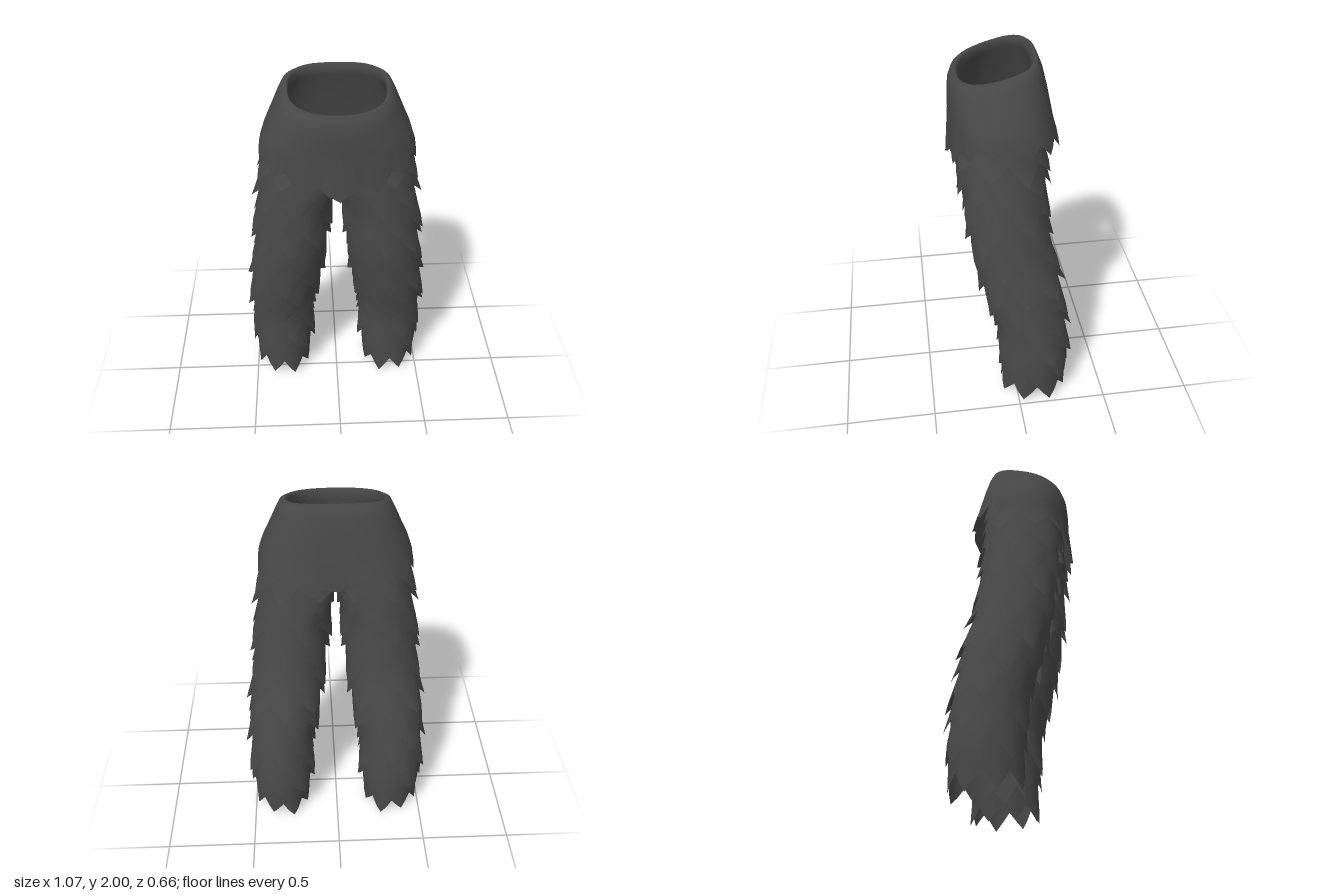
import * as THREE from 'three';

const fur = new THREE.MeshStandardMaterial({ color: 0x484848, side: THREE.DoubleSide });
fur.name = 'charcoal fur';

// Surface through rows of closed loops; point(row, angle, column) gives [x, y, z]
function loft(name, rows, segs, point, flip = false) {
  const pos = [], idx = [];
  for (let i = 0; i < rows; i++)
    for (let j = 0; j < segs; j++) pos.push(...point(i, (j / segs) * Math.PI * 2, j));
  for (let i = 0; i < rows - 1; i++) {
    for (let j = 0; j < segs; j++) {
      const a = i * segs + j, b = i * segs + (j + 1) % segs, c = a + segs, d = b + segs;
      if (flip) idx.push(a, c, b, b, c, d);
      else idx.push(a, b, c, b, d, c);
    }
  }
  const g = new THREE.BufferGeometry();
  g.setAttribute('position', new THREE.Float32BufferAttribute(pos, 3));
  g.setIndex(idx);
  g.computeVertexNormals();
  const mesh = new THREE.Mesh(g, fur);
  mesh.name = name;
  return mesh;
}

// Interpolates a table whose first column is descending height
function sample(table, y) {
  if (y >= table[0][0]) return table[0];
  for (let i = 1; i < table.length; i++) {
    if (y >= table[i][0]) {
      const a = table[i - 1], b = table[i], t = (a[0] - y) / (a[0] - b[0]);
      return a.map((v, k) => THREE.MathUtils.lerp(v, b[k], t));
    }
  }
  return table[table.length - 1];
}

const power = (v, p) => Math.sign(v) * Math.abs(v) ** p;
const noise = n => { const s = Math.sin(n * 12.9898) * 43758.5453; return s - Math.floor(s); };

// Pointed fringe: 1 at a tip, 0 between two tips
const fringe = (column, perTip, shift) => {
  const f = ((column + shift) % perTip) / perTip;
  return 1 - Math.abs(f - 0.5) * 2;
};

// height, centre x, centre z, radius x, radius z
const LEG = [
  [1.70, 0.195, 0.055, 0.19, 0.215],
  [1.50, 0.205, 0.06, 0.2, 0.225],
  [1.25, 0.235, 0.045, 0.205, 0.22],
  [1.00, 0.258, 0.02, 0.205, 0.22],
  [0.75, 0.292, -0.035, 0.205, 0.218],
  [0.50, 0.322, -0.085, 0.185, 0.2],
  [0.25, 0.328, -0.105, 0.183, 0.198],
  [0.00, 0.328, -0.1, 0.145, 0.175],
];

function legPoint(y, a, scale, side) {
  const [, cx, cz, rx, rz] = sample(LEG, y);
  const c = Math.cos(a), s = Math.sin(a);
  // The inner thigh squares off towards the crotch
  const k = c < 0 ? THREE.MathUtils.clamp((y - 1.3) / 0.2, 0, 1) : 0;
  const p = 1 - 0.5 * k;
  const reach = scale + k * Math.max(0, 1.03 - scale);
  const x = Math.max(0, cx + rx * reach * power(c, p));
  return [side * x, y, cz + rz * scale * power(s, p)];
}

function makeLeg(side) {
  const leg = new THREE.Group();
  leg.name = side > 0 ? 'leftLeg' : 'rightLeg';
  // Open tube inside the fringes, narrowing at the ankle
  leg.add(loft('legLining', 16, 36,
    (i, a) => legPoint(1.66 - i * 0.1, a, i < 13 ? 0.87 : 0.87 - (i - 12) * 0.04, side), side < 0));
  // Overlapping tiers of pointed fur
  const tiers = 11, tips = 8, per = 4;
  for (let t = 0; t < tiers; t++) {
    const hem = 1.56 - t * 0.146, top = Math.min(hem + 0.24, 1.68);
    const shift = t % 2 ? per / 2 : 0;
    leg.add(loft('furTier', 5, tips * per, (i, a, j) => {
      const f = fringe(j, per, shift);
      const tip = Math.floor((j + shift) / per) % tips;
      const r = noise(t * 17 + tip + 3), v = i / 4;
      const low = hem + 0.015 * Math.sin(a + t * 2) - f * (0.065 + 0.04 * r);
      const y = Math.max(0, THREE.MathUtils.lerp(top, low, v));
      const flare = 0.9 + v * 0.09 + v * v * f * (0.06 + 0.11 * r);
      return legPoint(y, a, flare, side);
    }, side < 0));
  }
  return leg;
}

// height at back, half width, back z, front z, drop at front
const WAIST = [
  [1.60, 0.37, -0.19, 0.28, 0],
  [1.80, 0.31, -0.155, 0.268, 0.05],
  [1.94, 0.248, -0.104, 0.25, 0.1],
  [1.985, 0.24, -0.105, 0.254, 0.1],
  [2.00, 0.25, -0.122, 0.268, 0.1],
  [1.985, 0.277, -0.14, 0.292, 0.1],
  [1.94, 0.3, -0.158, 0.307, 0.1],
  [1.85, 0.335, -0.18, 0.312, 0.07],
  [1.75, 0.373, -0.2, 0.313, 0.03],
  [1.68, 0.392, -0.215, 0.313, 0],
  [1.63, 0.398, -0.23, 0.317, 0],
];

function waistPoint([y, hw, zb, zf, drop], a) {
  const c = Math.cos(a), s = Math.sin(a), mid = 0.06;
  const p = s < 0 ? 0.68 : 0.86;
  const z = s < 0 ? mid + (mid - zb) * power(s, p) : mid + (zf - mid) * power(s, p);
  return [hw * power(c, p), y - drop * (z - zb) / (zf - zb), z];
}

export function createModel() {
  const model = new THREE.Group();
  model.name = 'furTrousers';

  // Smooth waist with rolled rim; pointed hem, high at the hips and low in front
  const per = 4, tips = 14;
  model.add(loft('waist', WAIST.length, per * tips, (i, a, j) => {
    const p = waistPoint(WAIST[i], a);
    if (i === WAIST.length - 1) {
      const f = fringe(j, per, 0), s = Math.sin(a);
      p[1] += 0.03 * Math.cos(a) ** 2 - f * 0.065 - 0.11 * Math.max(0, s) ** 3;
      p[0] *= 1 + 0.02 * f;
      p[2] += 0.018 * f * s;
      // Small dent at the middle of the back
      if (s < 0) p[2] += 0.03 * Math.max(0, 1 - Math.abs(p[0]) / 0.06);
    }
    return p;
  }));

  // Saddle closing the crotch between the legs
  const saddle = new THREE.PlaneGeometry(0.2, 0.44, 10, 8).rotateX(-Math.PI / 2);
  const v = saddle.attributes.position;
  for (let i = 0; i < v.count; i++) {
    const x = v.getX(i), z = v.getZ(i);
    v.setXYZ(i, x, 1.52 - 0.9 * Math.abs(x) + 0.8 * z * z, z + 0.06);
  }
  saddle.computeVertexNormals();
  const crotch = new THREE.Mesh(saddle, fur);
  crotch.name = 'crotch';
  model.add(crotch);

  for (const side of [1, -1]) model.add(makeLeg(side));
  return model;
}
